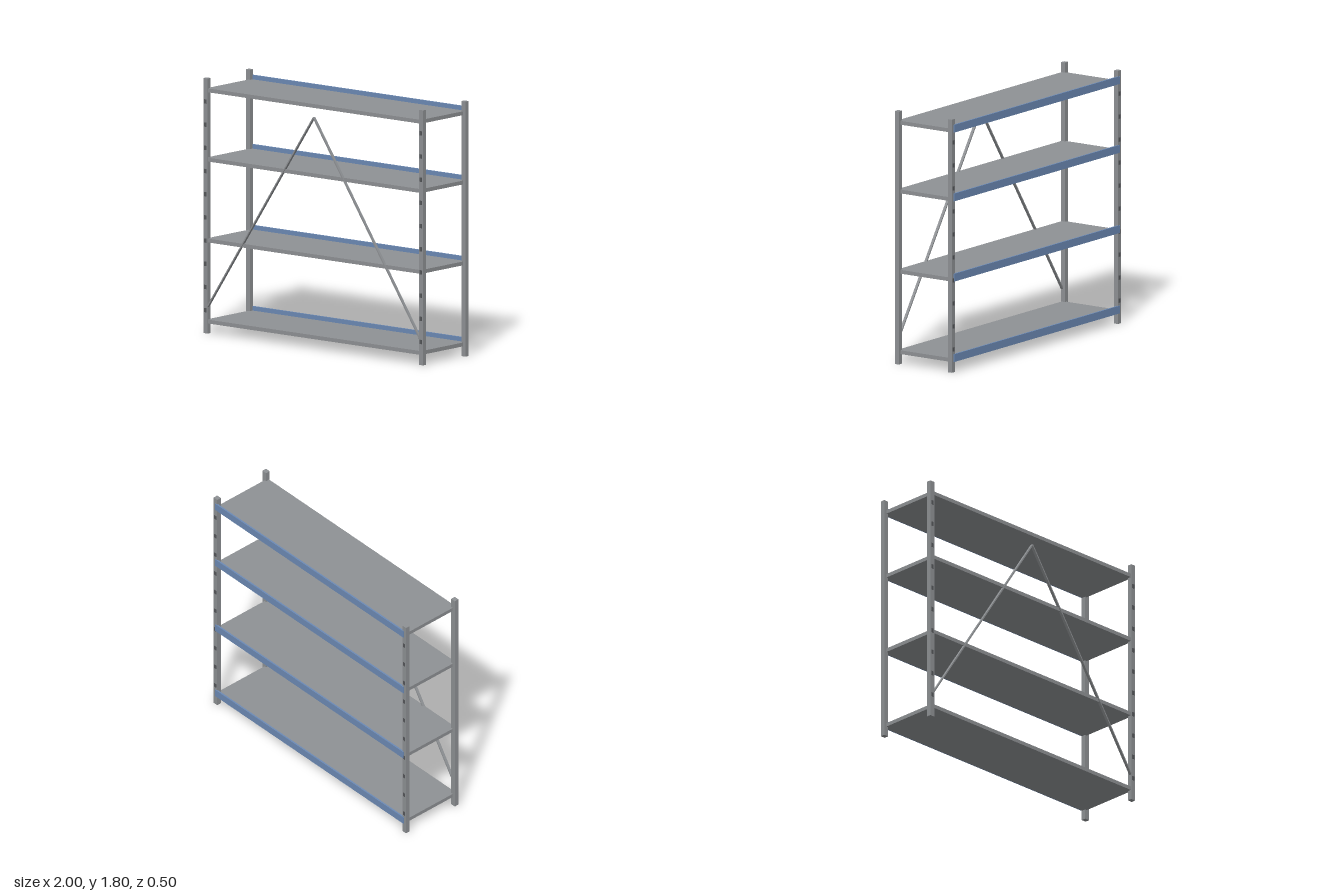
import * as THREE from 'three';

const material = (name, color) => {
  const m = new THREE.MeshStandardMaterial({ color });
  m.name = name;
  return m;
};

export function createModel() {
  const steel = material('grey steel', 0x8e9194);
  const blue = material('blue beam', 0x6c8ab5);
  const dark = material('dark slot', 0x55575a);
  const model = new THREE.Group();
  model.name = 'shelvingRack';

  const box = (name, size, position, mat, parent = model) => {
    const mesh = new THREE.Mesh(new THREE.BoxGeometry(...size), mat);
    mesh.name = name;
    mesh.position.set(...position);
    parent.add(mesh);
    return mesh;
  };

  // Four uprights, each with a row of slots on its outward front or back face
  const height = 1.8, postX = 0.981, postZ = 0.228;
  for (const sx of [-1, 1]) {
    for (const sz of [-1, 1]) {
      const post = new THREE.Group();
      post.name = (sz > 0 ? 'front' : 'back') + (sx > 0 ? 'Left' : 'Right') + 'Post';
      post.position.set(sx * postX, 0, sz * postZ);
      model.add(post);
      box('upright', [0.038, height, 0.034], [0, height / 2, 0], steel, post);
      for (let i = 1; i <= 10; i++) {
        box('slot', [0.02, 0.03, 0.005], [0, (height * i) / 11, sz * 0.0175], dark, post);
      }
    }
  }

  // Shelf boards with a raised blue beam along the back
  for (const y of [0.084, 0.656, 1.227, 1.716]) {
    box('shelf', [1.956, 0.027, 0.48], [0, y, 0], steel);
    box('backBeam', [1.956, 0.055, 0.012], [0, y + 0.017, -0.244], blue);
  }

  // Two flat bars meeting at the top in an inverted V
  const foot = new THREE.Vector2(0.965, 0.19), apex = new THREE.Vector2(0, 1.634);
  const span = apex.clone().sub(foot);
  for (const s of [-1, 1]) {
    const brace = box(s > 0 ? 'leftBrace' : 'rightBrace', [0.009, span.length(), 0.02],
      [s * foot.x / 2, (foot.y + apex.y) / 2, 0.236], steel);
    brace.rotation.z = s * Math.atan2(foot.x, span.y);
  }
  return model;
}
